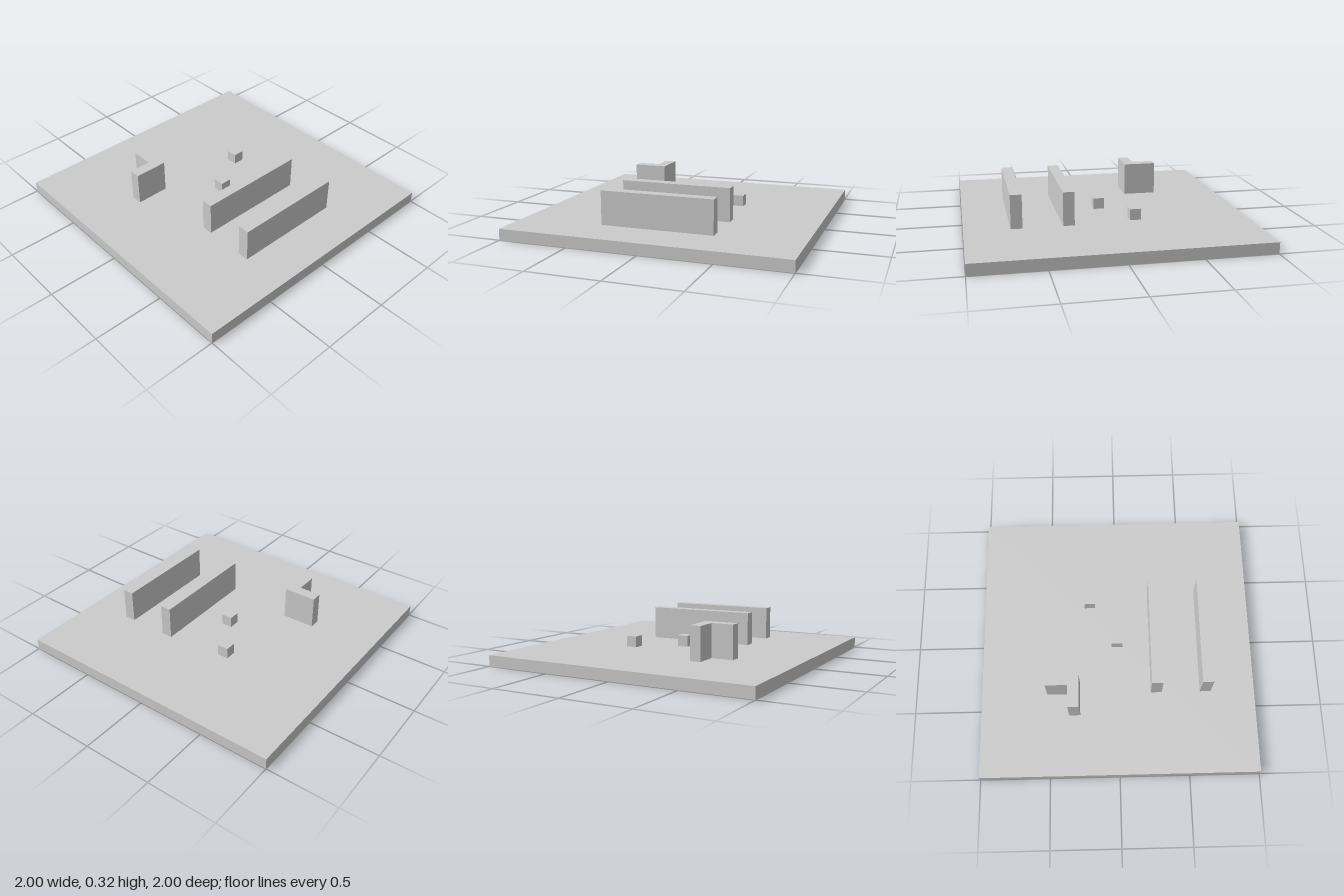
import * as THREE from 'three';

const BASE = 0.08; // slab thickness, also the wall thickness

export function createModel() {
  const model = new THREE.Group();
  const material = new THREE.MeshStandardMaterial({ color: 0xcccccc });

  // Box standing on height y, centred at x, z
  const addBox = (name, w, h, d, x, y, z) => {
    const mesh = new THREE.Mesh(new THREE.BoxGeometry(w, h, d), material);
    mesh.name = name;
    mesh.position.set(x, y + h / 2, z);
    model.add(mesh);
  };

  // Square ground slab
  addBox('groundSlab', 2, BASE, 2, 0, 0, 0);

  // Two parallel straight walls
  addBox('frontWall', 0.8, 0.24, 0.08, 0, BASE, 0.64);
  addBox('middleWall', 0.8, 0.24, 0.08, 0, BASE, 0.28);

  // Small cubes
  addBox('centreCube', 0.08, 0.08, 0.08, 0, BASE, 0);
  addBox('sideCube', 0.08, 0.08, 0.08, 0.32, BASE, -0.2);

  // L-shaped corner wall: plan outline in (x, -z), raised upward
  const plan = new THREE.Shape([
    [-0.56, 0.28], [-0.32, 0.28], [-0.32, 0.52],
    [-0.4, 0.52], [-0.4, 0.36], [-0.56, 0.36],
  ].map(([x, y]) => new THREE.Vector2(x, y)));
  const corner = new THREE.Mesh(
    new THREE.ExtrudeGeometry(plan, { depth: 0.24, bevelEnabled: false }),
    material,
  );
  corner.name = 'cornerWall';
  corner.rotation.x = -Math.PI / 2;
  corner.position.y = BASE;
  model.add(corner);

  return model;
}
